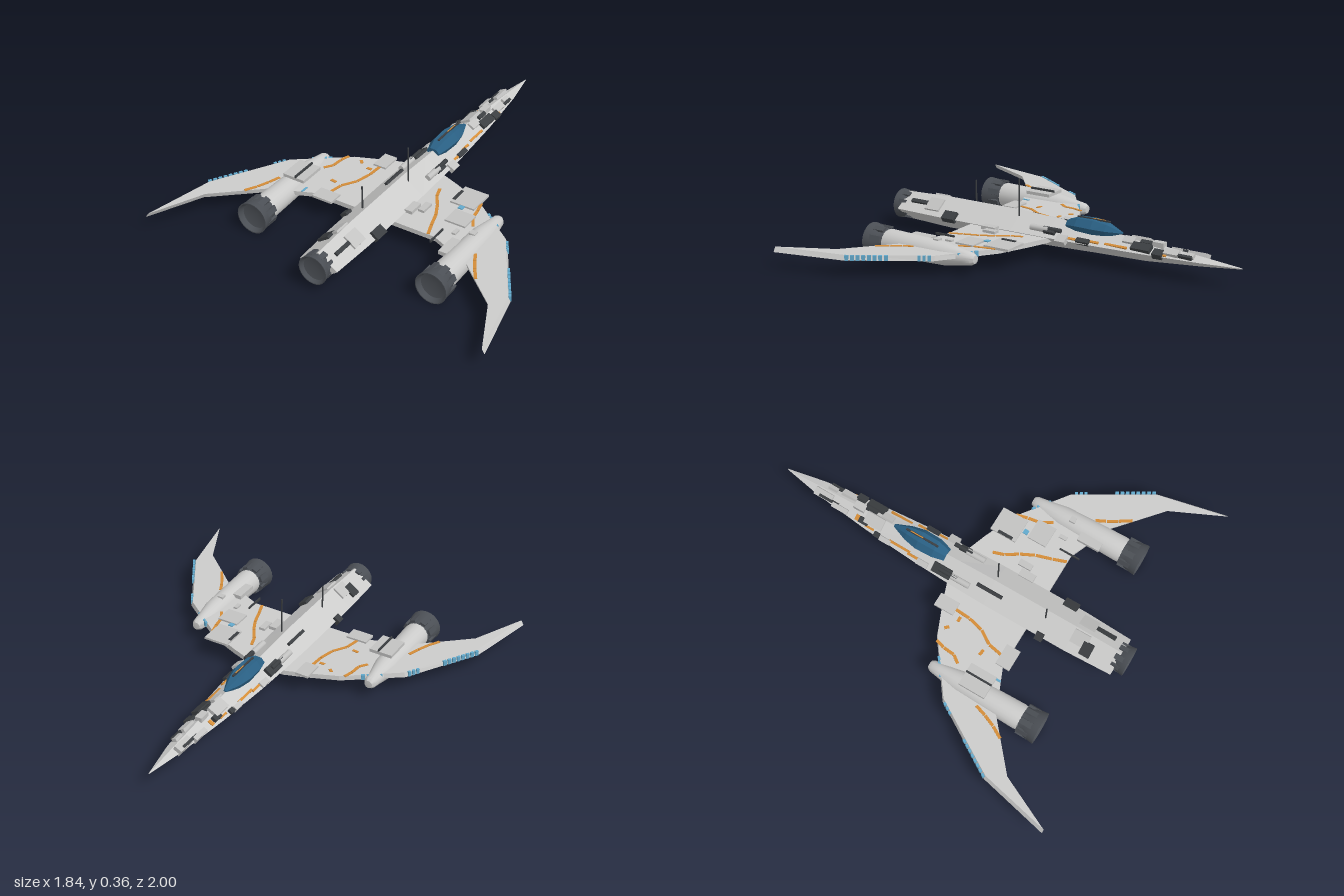
import * as THREE from 'three';
import { toCreasedNormals } from 'three/addons/utils/BufferGeometryUtils.js';

const mat = (name, color, extra = {}) => new THREE.MeshStandardMaterial({ name, color, ...extra });

// Skin a list of rings, ordered by growing z, each counterclockwise seen from +z
function loft(rings) {
  const pos = [], n = rings[0].length;
  const tri = (...p) => p.forEach(v => pos.push(...v));
  for (let k = 0; k < rings.length - 1; k++) {
    for (let i = 0; i < n; i++) {
      const j = (i + 1) % n, A = rings[k], B = rings[k + 1];
      tri(A[i], A[j], B[i]);
      tri(A[j], B[j], B[i]);
    }
  }
  const first = rings[0], last = rings[rings.length - 1];
  for (let i = 1; i < n - 1; i++) {
    tri(first[0], first[i + 1], first[i]);
    tri(last[0], last[i], last[i + 1]);
  }
  const g = new THREE.BufferGeometry();
  g.setAttribute('position', new THREE.Float32BufferAttribute(pos, 3));
  g.computeVertexNormals();
  return g;
}

// Fuselage stations: z, half width, ridge, side edge, keel
const stations = [
  [-1, 0.002, 0.114, 0.111, 0.108], [-0.8, 0.04, 0.133, 0.114, 0.086], [-0.5, 0.075, 0.158, 0.116, 0.06],
  [-0.2, 0.098, 0.18, 0.118, 0.052], [0, 0.107, 0.19, 0.119, 0.045], [0.2, 0.112, 0.2, 0.12, 0.04],
  [0.65, 0.112, 0.2, 0.12, 0.036], [0.9, 0.102, 0.19, 0.12, 0.046],
];
function stationAt(z) {
  let k = 0;
  while (k < stations.length - 2 && stations[k + 1][0] < z) k++;
  const a = stations[k], b = stations[k + 1], t = (z - a[0]) / (b[0] - a[0]);
  return a.map((v, i) => v + (b[i] - v) * t);
}

export function createModel() {
  const model = new THREE.Group();
  const hull = mat('hull grey', 0xcbcbca);
  const panel = mat('panel grey', 0xc2c2c1);
  const dark = mat('dark gunmetal', 0x3b3e41);
  const engine = mat('engine metal', 0x4b4f55, { side: THREE.DoubleSide });
  const glass = mat('canopy blue', 0x2a6084);
  const orange = mat('orange paint', 0xd38c38);
  const blue = mat('light blue paint', 0x62a9cc);

  const add = (name, geo, material, x = 0, y = 0, z = 0, parent = model) => {
    const m = new THREE.Mesh(geo, material);
    m.name = name;
    m.position.set(x, y, z);
    parent.add(m);
    return m;
  };
  const box = (name, material, x, y, z, w, h, d) => add(name, new THREE.BoxGeometry(w, h, d), material, x, y, z);

  // Block lying on the sloping roof of the fuselage
  const roofBox = (name, material, x, z, w, d, h) => {
    const [, half, ridge, edge] = stationAt(z);
    const y = ridge - (ridge - edge) * Math.min(Math.abs(x) / half, 1);
    const m = box(name, material, x, y, z, w, h, d);
    m.rotation.z = -Math.sign(x) * Math.atan2(ridge - edge, half);
    return m;
  };

  // Fuselage with a four-sided section
  add('fuselage', loft(stations.map(([z, w, t, e, b]) => [[w, e, z], [0, t, z], [-w, e, z], [0, b, z]])), hull);

  // Canopy
  add('canopy', loft([[-0.37, 0.008, 0.172, 0.178], [-0.29, 0.04, 0.15, 0.208], [-0.22, 0.055, 0.147, 0.219],
    [-0.13, 0.052, 0.15, 0.217], [-0.07, 0.035, 0.155, 0.196]].map(([z, w, b, t]) => {
    const m = b + (t - b) * 0.5;
    return [[w, m, z], [w * 0.5, t, z], [-w * 0.5, t, z], [-w, m, z], [-w * 0.7, b, z], [w * 0.7, b, z]];
  })), glass);
  box('canopy spine', dark, 0, 0.219, -0.21, 0.01, 0.007, 0.18);
  box('canopy spine stripe', orange, 0, 0.222, -0.24, 0.005, 0.004, 0.07);

  // Swept wing, one plate running through the fuselage
  const half = [[0.1, -0.01], [0.2, 0.025], [0.36, 0.09], [0.62, 0.28], [0.84, 0.64], [0.92, 1],
    [0.79, 0.73], [0.56, 0.535], [0.33, 0.44], [0.1, 0.44]];
  const outline = [...half, ...half.map(([x, z]) => [-x, z]).reverse()].map(([x, z]) => new THREE.Vector2(x, -z));
  const wingGeo = new THREE.ExtrudeGeometry(new THREE.Shape(outline), { depth: 0.024, bevelEnabled: false });
  wingGeo.rotateX(-Math.PI / 2);
  const wp = wingGeo.attributes.position;
  for (let i = 0; i < wp.count; i++) if (wp.getY(i) > 0.01) wp.setX(i, wp.getX(i) * 0.985);
  wingGeo.computeVertexNormals();
  add('wing', wingGeo, hull, 0, 0.091, 0);

  // Engine bell with petals around the collar
  const bell = (name, x, y, z, r, len) => {
    const g = new THREE.Group();
    g.name = name;
    g.position.set(x, y, z);
    model.add(g);
    const profile = [[0, 0], [0.76, 0], [0.8, 0.3], [0.92, 0.45], [1, 1], [0.94, 1], [0.8, 0.75], [0, 0.6]];
    const geo = new THREE.LatheGeometry(profile.map(([a, b]) => new THREE.Vector2(a * r, b * len)), 24);
    geo.rotateX(Math.PI / 2);
    add('bell', toCreasedNormals(geo, 0.6), engine, 0, 0, 0, g);
    for (let i = 0; i < 8; i++) {
      const a = (i + 0.5) * Math.PI / 4;
      const p = add('petal', new THREE.BoxGeometry(r * 0.14, r * 0.36, len * 0.65), engine,
        Math.cos(a) * r * 0.87, Math.sin(a) * r * 0.87, len * 0.35, g);
      p.rotation.z = a;
    }
  };
  bell('main engine', 0, 0.12, 0.875, 0.075, 0.073);

  // Wing nacelles
  const pod = [[0, 0], [0.02, 0.003], [0.03, 0.02], [0.036, 0.06], [0.056, 0.17], [0.06, 0.3], [0.065, 0.5], [0.06, 0.53], [0, 0.53]];
  for (const s of [-1, 1]) {
    const geo = new THREE.LatheGeometry(pod.map(p => new THREE.Vector2(...p)), 20);
    geo.rotateX(Math.PI / 2);
    add('nacelle', toCreasedNormals(geo, 0.6), hull, s * 0.494, 0.09, 0.13);
    bell('nacelle engine', s * 0.494, 0.09, 0.645, 0.082, 0.1);
    // Gun stubs beside the wing roots
    const gun = add('gun stub', new THREE.CylinderGeometry(0.016, 0.016, 0.1, 12), panel, s * 0.075, 0.15, 0.05);
    gun.rotation.x = Math.PI / 2;
    add('gun muzzle', new THREE.CylinderGeometry(0.011, 0.011, 0.1, 12), dark, s * 0.075, 0.155, -0.02).rotation.x = Math.PI / 2;
  }

  // Raised plates on wings and nacelles: x, z, width, depth, base y, height
  for (const [x, z, w, d, y, h] of [
    [-0.2, 0.05, 0.07, 0.105, 0.112, 0.012], [0.31, 0.1, 0.13, 0.14, 0.112, 0.012], [0.355, 0.26, 0.11, 0.1, 0.112, 0.012],
    [-0.28, 0.44, 0.11, 0.075, 0.112, 0.012], [0.17, 0.275, 0.032, 0.07, 0.112, 0.016], [0.125, 0.31, 0.04, 0.08, 0.112, 0.02],
    [0.485, 0.36, 0.03, 0.03, 0.14, 0.014], [-0.463, 0.38, 0.12, 0.14, 0.148, 0.016], [0.445, 0.485, 0.07, 0.12, 0.118, 0.02],
    [0.39, 0.36, 0.02, 0.04, 0.112, 0.012],
  ]) box('wing panel', panel, x, y + h / 2, z, w, h, d);
  for (const [x, z, w, d, y, h] of [
    [0.253, 0.11, 0.015, 0.08, 0.122, 0.006], [0.33, 0.43, 0.007, 0.11, 0.112, 0.012], [-0.452, 0.38, 0.008, 0.14, 0.162, 0.012],
  ]) box('wing rail', dark, x, y + h / 2, z, w, h, d);

  // Blocks on the fuselage roof: x, z, width, depth, height
  for (const [x, z, w, d, h] of [
    [-0.035, 0.695, 0.07, 0.085, 0.02], [0.055, 0.695, 0.075, 0.085, 0.02], [-0.025, -0.765, 0.04, 0.1, 0.035],
    [0.02, -0.74, 0.025, 0.05, 0.03], [-0.022, -0.47, 0.06, 0.1, 0.03], [0.02, -0.42, 0.04, 0.06, 0.024],
    [-0.045, -0.66, 0.025, 0.09, 0.03], [0.03, -0.65, 0.035, 0.08, 0.03], [0.1, -0.09, 0.045, 0.055, 0.025],
    [-0.075, -0.38, 0.025, 0.06, 0.025], [-0.085, -0.16, 0.03, 0.06, 0.02], [0, -0.57, 0.035, 0.06, 0.03],
  ]) roofBox('fuselage panel', panel, x, z, w, d, h);
  for (const [x, z, w, d, h] of [
    [-0.048, 0.2, 0.016, 0.14, 0.024], [-0.11, 0.515, 0.04, 0.04, 0.03], [0.1, 0.57, 0.05, 0.075, 0.03],
    [-0.06, 0.745, 0.07, 0.055, 0.024], [0.052, 0.78, 0.02, 0.12, 0.024], [0.045, -0.5, 0.045, 0.1, 0.035],
    [0.05, -0.59, 0.04, 0.05, 0.03], [-0.07, -0.055, 0.05, 0.1, 0.03], [-0.035, -0.73, 0.014, 0.11, 0.035],
    [0.035, -0.7, 0.014, 0.12, 0.03], [0.085, -0.2, 0.025, 0.07, 0.024], [-0.07, -0.43, 0.025, 0.03, 0.03],
    [-0.045, -0.52, 0.03, 0.05, 0.035], [0.075, -0.01, 0.03, 0.06, 0.035], [0.012, -0.51, 0.02, 0.06, 0.03],
  ]) roofBox('dark equipment', dark, x, z, w, d, h);

  // Orange paint along the nose
  for (const [x, z, w, d] of [
    [-0.068, -0.3, 0.012, 0.12], [-0.078, -0.2, 0.012, 0.1], [0.066, -0.37, 0.012, 0.12], [0.075, -0.25, 0.012, 0.06],
    [-0.045, -0.56, 0.03, 0.02], [0.045, -0.62, 0.025, 0.025], [0.085, -0.14, 0.012, 0.05], [-0.06, -0.48, 0.01, 0.05],
  ]) roofBox('nose paint', orange, x, z, w, d, 0.009);

  // Painted dashes following a path on the wing
  const dashes = (name, material, path, width, height, y, gap = 0.012) => {
    for (let i = 0; i < path.length - 1; i++) {
      const [ax, az] = path[i], [bx, bz] = path[i + 1];
      const len = Math.hypot(bx - ax, bz - az);
      const m = box(name, material, (ax + bx) / 2, y, (az + bz) / 2, width, height, len - gap);
      m.rotation.y = Math.atan2(bx - ax, bz - az);
    }
  };
  for (const path of [
    [[-0.38, 0.1], [-0.395, 0.15], [-0.4, 0.21], [-0.43, 0.25]], [[-0.2, 0.1], [-0.205, 0.18], [-0.225, 0.26], [-0.27, 0.33], [-0.285, 0.41]],
    [[0.145, 0.1], [0.165, 0.16], [0.205, 0.22], [0.24, 0.29], [0.265, 0.37], [0.29, 0.44]],
    [[0.375, 0.1], [0.39, 0.16], [0.4, 0.22], [0.435, 0.28]],
    [[0.55, 0.45], [0.575, 0.5], [0.605, 0.55], [0.645, 0.61]], [[-0.56, 0.43], [-0.58, 0.49], [-0.605, 0.55], [-0.64, 0.61]],
    [[-0.31, 0.1], [-0.29, 0.12]], [[-0.34, 0.315], [-0.305, 0.32]], [[-0.25, 0.14], [-0.22, 0.14]],
  ]) dashes('wing paint', orange, path, 0.015, 0.004, 0.116, 0.004);

  // Light blue markers wrapped over the leading edges
  for (const s of [-1, 1]) {
    for (const [ax, az, bx, bz, n] of [[0.44, 0.15, 0.53, 0.215, 4], [0.623, 0.29, 0.66, 0.35, 3], [0.728, 0.46, 0.838, 0.64, 8]]) {
      for (let i = 0; i < n; i++) {
        const t = i / n, u = (i + 1) / n;
        dashes('edge marker', blue, [[s * (ax + (bx - ax) * t), az + (bz - az) * t],
          [s * (ax + (bx - ax) * u), az + (bz - az) * u]], 0.012, 0.026, 0.104, 0.009);
      }
    }
  }
  box('wing marker', blue, 0.318, 0.126, 0.19, 0.025, 0.005, 0.025);
  box('wing marker', blue, -0.4, 0.116, 0.45, 0.01, 0.004, 0.04);

  // Antennas
  for (const [x, z, top] of [[0.03, 0.2, 0.365], [-0.03, 0.5, 0.3]]) {
    add('antenna', new THREE.CylinderGeometry(0.004, 0.004, top - 0.16, 8), dark, x, (top + 0.16) / 2, z);
  }
  return model;
}
